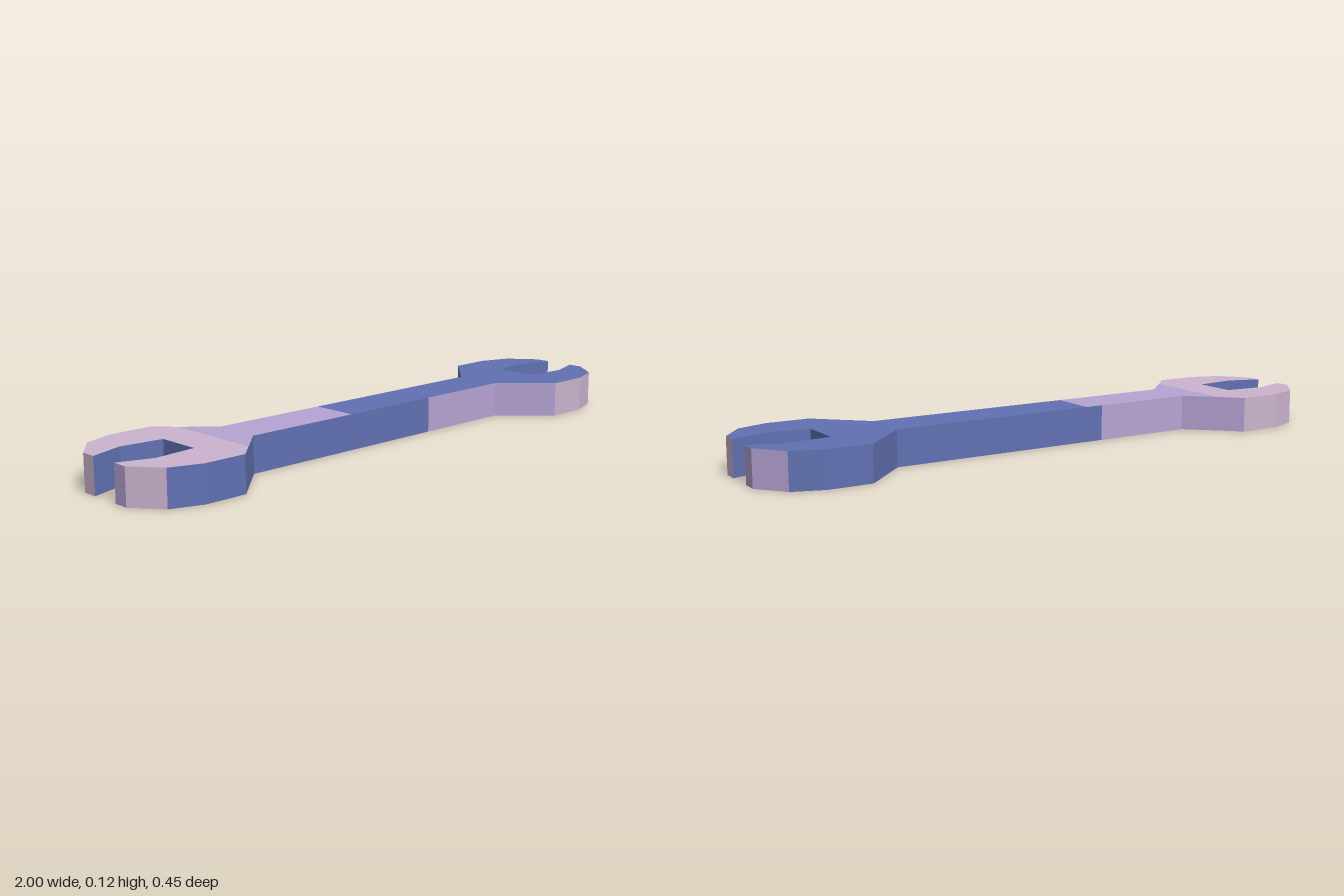
import * as THREE from 'three';

const T = 0.115; // thickness

export function createModel() {
  const group = new THREE.Group();
  const mat = (name, color) => {
    const m = new THREE.MeshStandardMaterial({ color });
    m.name = name;
    return m;
  };
  const B = mat('slate blue', 0x6172b3);
  const L = mat('lilac', 0xb7a4d4);
  const P = mat('dusty pink', 0xccb4cf);

  // Half outline in (x, z): left-hand slot, front edge, right-hand slot
  const jaw = [[0.54, 0.078], [0.69, 0.225], [0.83, 0.225], [0.93, 0.19],
    [1, 0.1], [1, 0.05], [0.89, 0.087], [0.75, 0.073]];
  const mirrored = jaw.map(([x, z]) => [-x, z]).reverse();
  const chain = [...mirrored, [0.205, 0.078], ...jaw, [0.75, -0.073]];

  // Rim walls; the back half is the front half turned by 180 degrees
  const rim = (name, sign, colors) => {
    const side = new THREE.Group();
    side.name = name;
    colors.forEach((material, i) => {
      const [ax, az] = chain[i].map((v) => v * sign);
      const [bx, bz] = chain[i + 1].map((v) => v * sign);
      const geo = new THREE.BufferGeometry();
      geo.setAttribute('position', new THREE.Float32BufferAttribute(
        [ax, 0, az, bx, 0, bz, bx, T, bz, ax, T, az], 3));
      geo.setIndex([0, 1, 2, 0, 2, 3]);
      geo.computeVertexNormals();
      const wall = new THREE.Mesh(geo, material);
      wall.name = 'rimWall';
      side.add(wall);
    });
    group.add(side);
  };
  rim('frontRim', 1, [B, B, L, P, B, B, B, B, L, L, P, P, L, P, B, B, B]);
  rim('backRim', -1, [B, B, L, L, B, B, B, B, L, L, P, P, L, P, B, B, B]);

  // Flat faces: each is a half outline mirrored across the long axis
  const plate = (name, half, material) => {
    const points = [...half, ...half.map(([x, z]) => [x, -z]).reverse()];
    const geo = new THREE.ShapeGeometry(
      new THREE.Shape(points.map(([x, z]) => new THREE.Vector2(x, z))));
    geo.rotateX(-Math.PI / 2).translate(0, T / 2, 0);
    const mesh = new THREE.Mesh(geo, material);
    mesh.name = name;
    return mesh;
  };
  const split = [-0.63, 0.165]; // colour change on the jaw shoulder
  const makeFace = (name) => {
    const face = new THREE.Group();
    face.name = name;
    face.add(
      plate('pinkJawFace', [...mirrored.slice(0, -1), split], P),
      plate('lilacHandleFace', [split, [-0.54, 0.078], [-0.145, 0.078]], L),
      plate('blueHandleAndJawFace', [[-0.145, 0.078], ...jaw], B));
    face.position.y = T / 2;
    group.add(face);
    return face;
  };
  makeFace('topFace');
  makeFace('bottomFace').rotation.z = Math.PI;

  return group;
}
